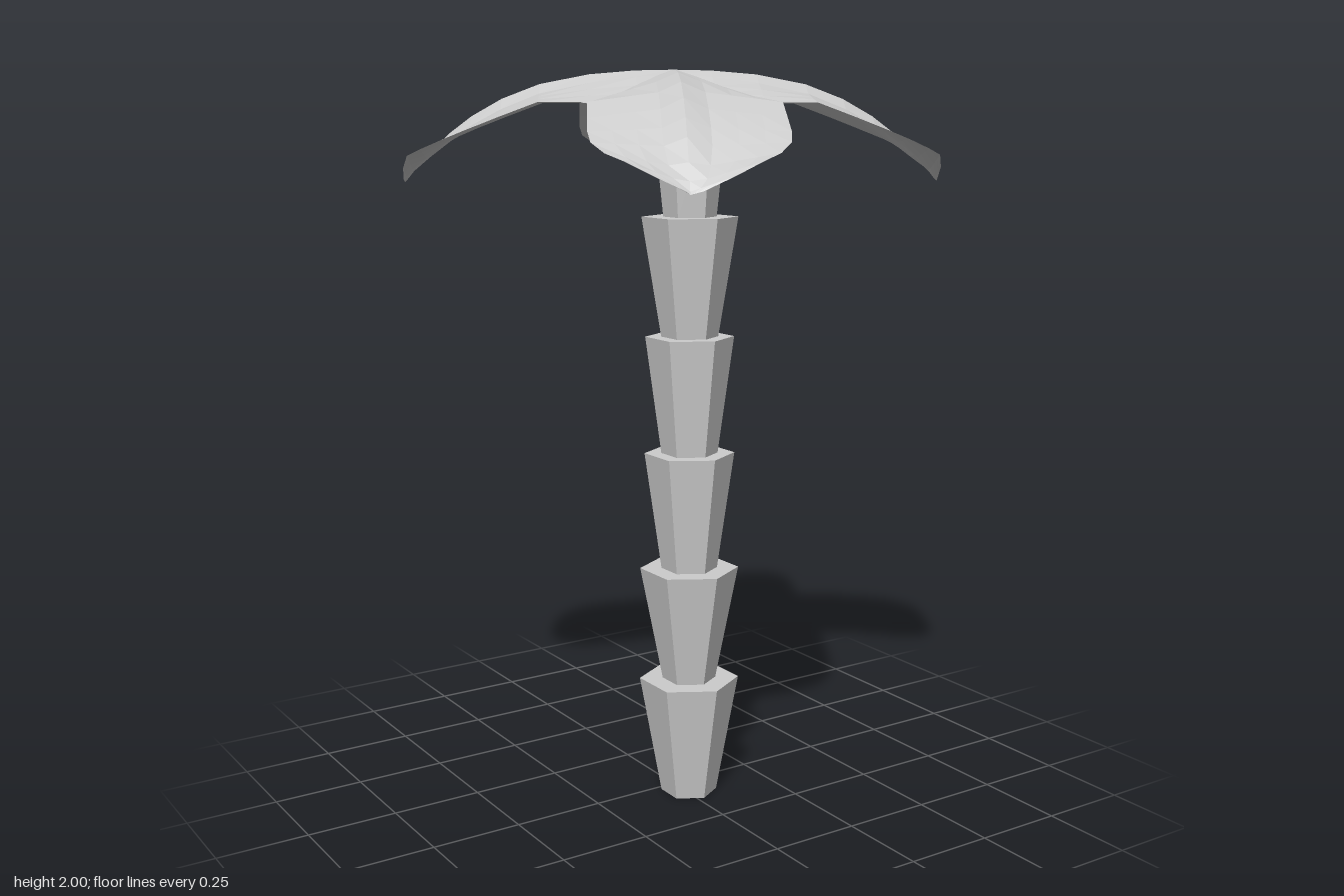
import * as THREE from 'three';

const material = new THREE.MeshStandardMaterial({ color: 0xcccccc, flatShading: true });
const leafMaterial = new THREE.MeshStandardMaterial({ color: 0xcccccc, flatShading: true, side: THREE.DoubleSide });

// Cross-sections along a frond:
// distance out, half width, height of the midrib, of the fold beside it, and of the edge
const SECTIONS = [
  [0.0, 0.2, 2.0, 1.985, 1.915],
  [0.1, 0.22, 1.998, 1.98, 1.915],
  [0.22, 0.237, 1.988, 1.965, 1.915],
  [0.35, 0.238, 1.963, 1.938, 1.915],
  [0.45, 0.238, 1.925, 1.898, 1.878],
  [0.53, 0.238, 1.88, 1.855, 1.847],
  [0.59, 0.231, 1.835, 1.815, 1.823],
  [0.645, 0.2, 1.78, 1.773, 1.8],
  [0.683, 0.157, 1.739, 1.745, 1.783],
  [0.701, 0.09, 1.717, 1.725, 1.75],
  [0.708, 0.02, 1.71, 1.712, 1.718],
];
const FOLD = 0.24; // where the raised midrib meets the blade
const COLUMNS = [-1, -0.75, -0.5, -FOLD, 0, FOLD, 0.5, 0.75, 1];

// Frond pointing along +x: a raised midrib on a blade that droops, then cups at the tip
function frondGeometry() {
  const positions = [];
  const index = [];
  const cols = COLUMNS.length;
  SECTIONS.forEach(([u, w, mid, fold, edge], row) => {
    COLUMNS.forEach((s, j) => {
      const a = Math.abs(s);
      const y = a <= FOLD
        ? THREE.MathUtils.lerp(mid, fold, a / FOLD)
        : THREE.MathUtils.lerp(fold, edge, (a - FOLD) / (1 - FOLD));
      positions.push(u, y, s * w - 0.01 * a);
      if (row < SECTIONS.length - 1 && j < cols - 1) {
        const p = row * cols + j;
        const q = p + cols;
        index.push(p, p + 1, q, p + 1, q + 1, q);
      }
    });
  });
  const geometry = new THREE.BufferGeometry();
  geometry.setAttribute('position', new THREE.Float32BufferAttribute(positions, 3));
  geometry.setIndex(index);
  geometry.computeVertexNormals();
  return geometry;
}

export function createModel() {
  const model = new THREE.Group();
  model.name = 'palmTree';

  // Trunk: stacked flaring hexagonal segments [bottom y, top y, bottom radius, top radius]
  const trunk = new THREE.Group();
  trunk.name = 'trunk';
  trunk.position.set(0.018, 0, 0.054);
  const segments = [
    [0, 0.335, 0.078, 0.138],
    [0.335, 0.655, 0.074, 0.136],
    [0.655, 0.98, 0.077, 0.123],
    [0.98, 1.3, 0.077, 0.12],
    [1.3, 1.62, 0.077, 0.129],
    [1.62, 1.92, 0.071, 0.102],
  ];
  segments.forEach(([y0, y1, r0, r1], i) => {
    const segment = new THREE.Mesh(new THREE.CylinderGeometry(r1, r0, y1 - y0, 6), material);
    segment.name = `trunkSegment${i + 1}`;
    segment.position.y = (y0 + y1) / 2;
    trunk.add(segment);
  });
  model.add(trunk);

  // Crown: four fronds a quarter turn apart
  const crown = new THREE.Group();
  crown.name = 'crown';
  const geometry = frondGeometry();
  for (let i = 0; i < 4; i++) {
    const frond = new THREE.Mesh(geometry, leafMaterial);
    frond.name = `frond${i + 1}`;
    frond.rotation.y = -Math.PI / 6 + (i * Math.PI) / 2;
    crown.add(frond);
  }
  model.add(crown);
  return model;
}
